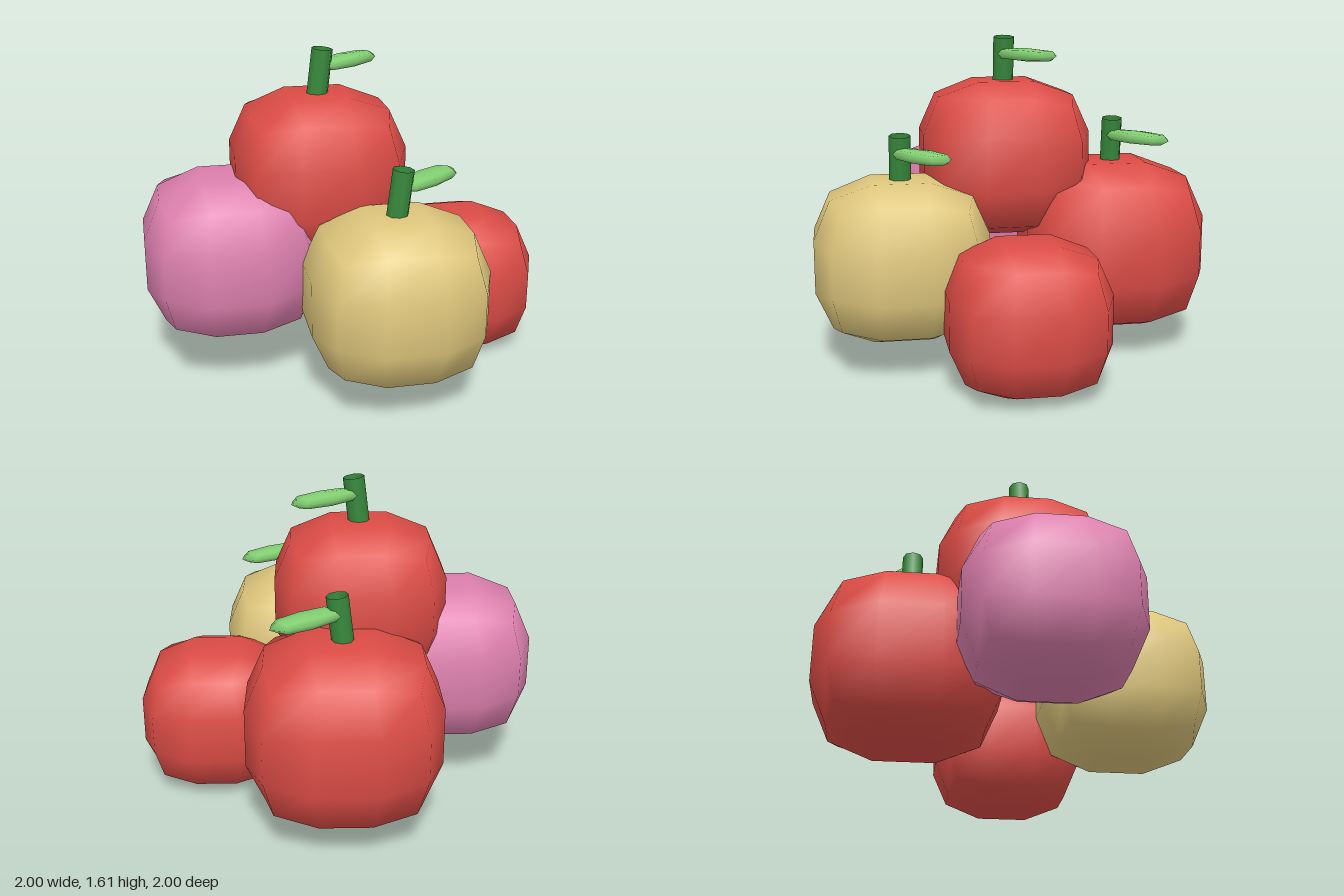
import * as THREE from 'three';
import { mergeVertices } from 'three/addons/utils/BufferGeometryUtils.js';

const material = (name, color, side = THREE.FrontSide) => {
  const m = new THREE.MeshStandardMaterial({ color, side });
  m.name = name;
  return m;
};

// A subdivided cube pulled most of the way to a sphere, with half size 1.
function roundedCube(segments) {
  const box = new THREE.BoxGeometry(2, 2, 2, segments, segments, segments);
  box.deleteAttribute('uv');
  box.deleteAttribute('normal');
  box.clearGroups();
  const geo = mergeVertices(box, 1e-4);
  const pos = geo.attributes.position;
  const p = new THREE.Vector3();
  let max = 0;
  for (let i = 0; i < pos.count; i++) {
    p.fromBufferAttribute(pos, i);
    p.lerp(p.clone().normalize(), 0.81);
    pos.setXYZ(i, p.x, p.y, p.z);
    max = Math.max(max, p.x);
  }
  geo.scale(1 / max, 1 / max, 1 / max);
  return geo;
}

// Scaled copy with smooth normals.
function blob(segments, x, y, z) {
  const geo = roundedCube(segments).scale(x, y, z);
  geo.computeVertexNormals();
  return geo;
}

export function createModel() {
  const red = material('red skin', 0xdc4c46);
  const yellow = material('yellow skin', 0xdec67c);
  const pink = material('pink skin', 0xdd80ae);
  const stemGreen = material('stem green', 0x388a3c, THREE.DoubleSide);
  const leafGreen = material('leaf green', 0x82cf72);

  const stemGeo = new THREE.CylinderGeometry(0.053, 0.053, 0.32, 8, 1, true);
  const leafGeo = blob(2, 0.2, 0.033, 0.072);

  // name, skin, centre, half width, half height, has stem and leaf
  const fruits = [
    ['topFruit', red, [-0.12, 0.995, 0.017], 0.425, 0.39, true],
    ['backFruit', red, [-0.025, 0.54, -0.533], 0.465, 0.43, true],
    ['frontFruit', yellow, [0.157, 0.538, 0.572], 0.425, 0.392, true],
    ['rightFruit', pink, [-0.575, 0.63, 0.105], 0.425, 0.39, false],
    ['leftFruit', red, [0.62, 0.353, 0.02], 0.38, 0.353, false],
  ];

  const model = new THREE.Group();
  model.name = 'fruitPile';
  for (const [name, skin, centre, half, halfHeight, hasStem] of fruits) {
    const fruit = new THREE.Group();
    fruit.name = name;
    fruit.position.set(...centre);
    const body = new THREE.Mesh(blob(3, half, halfHeight, half), skin);
    body.name = 'body';
    fruit.add(body);

    if (hasStem) {
      // Slightly leaning hollow stem
      const stem = new THREE.Mesh(stemGeo, stemGreen);
      stem.name = 'stem';
      stem.position.set(0.013, halfHeight + 0.06, 0);
      stem.rotation.z = -0.12;
      // Flat leaf growing out of the stem
      const leaf = new THREE.Mesh(leafGeo, leafGreen);
      leaf.name = 'leaf';
      leaf.position.set(0.172, halfHeight + 0.135, -0.094);
      leaf.rotation.y = 0.61;
      fruit.add(stem, leaf);
    }
    model.add(fruit);
  }
  return model;
}
